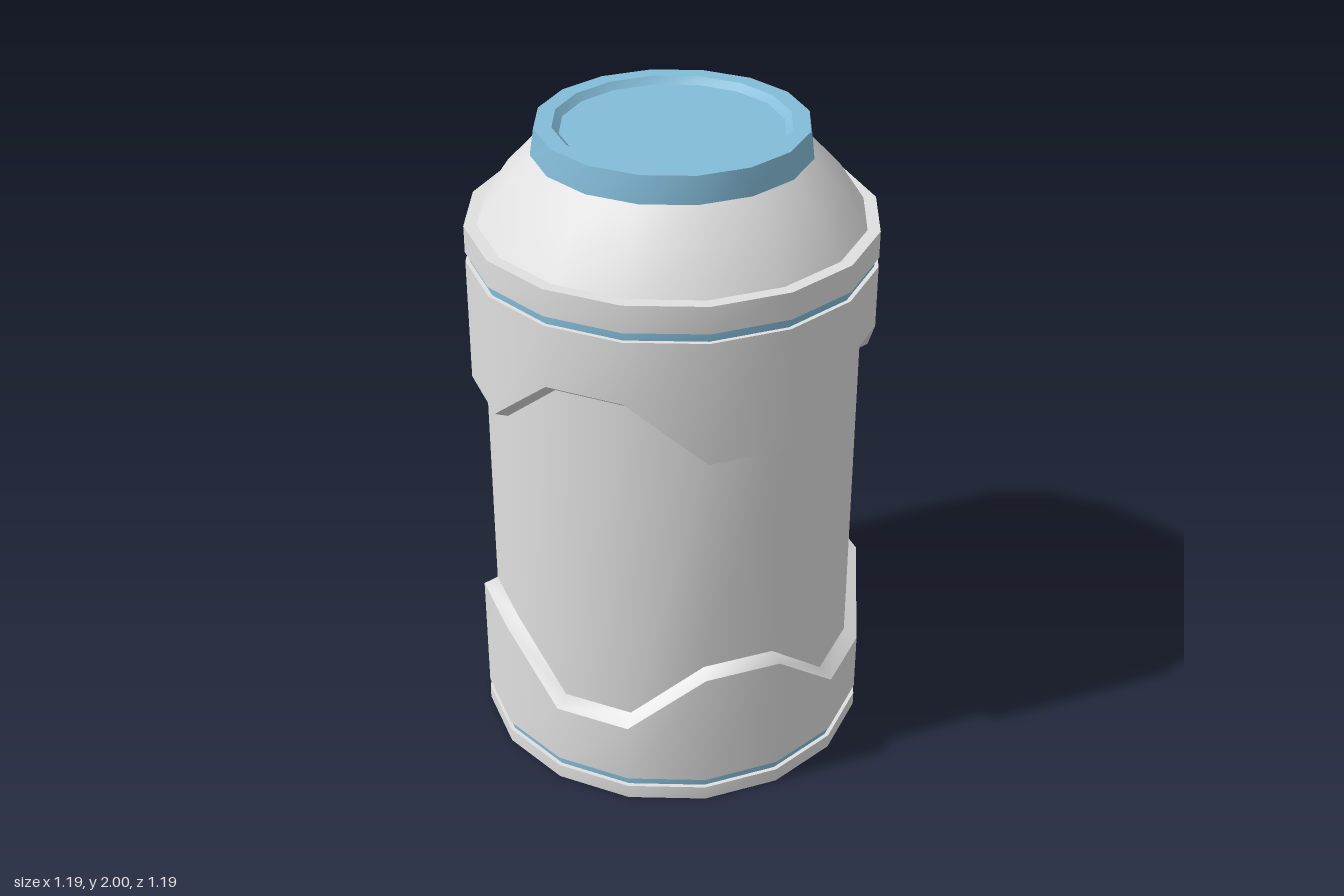
import * as THREE from 'three';

const SIDES = 16;

// Corner angles sit half a step off the axes, so a flat side faces the front.
const angleAt = (i) => ((i + 0.5) / SIDES) * Math.PI * 2;

// A ring is [radius, y] or [radius, yA, yB]; yB applies to the two diagonal corners of each quarter.
function ringHeight(ring, i) {
  const diagonal = i % 4 === 1 || i % 4 === 2;
  return diagonal && ring.length > 2 ? ring[2] : ring[1];
}

// Skins consecutive rings, listed from bottom to top on the outside; smooth within one band.
function bandGeometry(rings) {
  const positions = [];
  const indices = [];
  rings.forEach((ring) => {
    for (let i = 0; i < SIDES; i++) {
      const a = angleAt(i);
      positions.push(Math.sin(a) * ring[0], ringHeight(ring, i), Math.cos(a) * ring[0]);
    }
  });
  for (let r = 0; r < rings.length - 1; r++) {
    for (let i = 0; i < SIDES; i++) {
      const j = (i + 1) % SIDES;
      const a = r * SIDES + i;
      const b = r * SIDES + j;
      indices.push(a, b, b + SIDES, a, b + SIDES, a + SIDES);
    }
  }
  const geometry = new THREE.BufferGeometry();
  geometry.setAttribute('position', new THREE.Float32BufferAttribute(positions, 3));
  geometry.setIndex(indices);
  geometry.computeVertexNormals();
  return geometry;
}

export function createModel() {
  const grey = new THREE.MeshStandardMaterial({ color: 0xe0e0e0, side: THREE.DoubleSide });
  grey.name = 'light grey';
  const blue = new THREE.MeshStandardMaterial({ color: 0x84bcd9, side: THREE.DoubleSide });
  blue.name = 'sky blue';

  const model = new THREE.Group();
  model.name = 'canister';

  const R = 0.609; // cuffs and rims
  const G = 0.596; // groove floors
  const B = 0.566; // main body

  const parts = [
    // Base, open underneath
    ['baseRim', grey, [[R, 0], [R, 0.045]]],
    ['lowerGrooveFloorEdge', grey, [[R, 0.045], [G, 0.045]]],
    ['lowerGroove', blue, [[G, 0.045], [G, 0.075]]],
    ['lowerGrooveCeiling', grey, [[G, 0.075], [R, 0.075]]],
    // Lower cuff with stepped top edge
    ['lowerCuff', grey, [[R, 0.075], [R, 0.27, 0.46]]],
    ['lowerCuffBevel', grey, [[R, 0.27, 0.46], [B, 0.3, 0.48]]],
    // Main wall
    ['body', grey, [[B, 0.3, 0.48], [B, 1.38, 1.2]]],
    // Upper cuff with stepped bottom edge
    ['upperCuffBevel', grey, [[B, 1.38, 1.2], [R, 1.41, 1.22]]],
    ['upperCuff', grey, [[R, 1.41, 1.22], [R, 1.603]]],
    ['upperGrooveFloorEdge', grey, [[R, 1.603], [G, 1.603]]],
    ['upperGroove', blue, [[G, 1.603], [G, 1.632]]],
    ['upperGrooveCeiling', grey, [[G, 1.632], [R, 1.632]]],
    ['topRim', grey, [[R, 1.632], [R, 1.715]]],
    ['topRimLedge', grey, [[R, 1.715], [0.571, 1.715]]],
    // Domed shoulder
    ['shoulder', grey, [[0.571, 1.715], [0.495, 1.83], [0.41, 1.92]]],
    // Cap with recessed top
    ['capSide', blue, [[0.41, 1.92], [0.398, 2]]],
    ['capLip', blue, [[0.398, 2], [0.346, 2]]],
    ['capRecessWall', blue, [[0.346, 2], [0.326, 1.98]]],
  ];
  parts.forEach(([name, material, rings]) => {
    const mesh = new THREE.Mesh(bandGeometry(rings), material);
    mesh.name = name;
    model.add(mesh);
  });

  // Floor of the cap recess
  const floor = new THREE.Mesh(new THREE.CircleGeometry(0.326, SIDES, Math.PI / SIDES), blue);
  floor.name = 'capFloor';
  floor.rotation.x = -Math.PI / 2;
  floor.position.y = 1.98;
  model.add(floor);

  return model;
}
